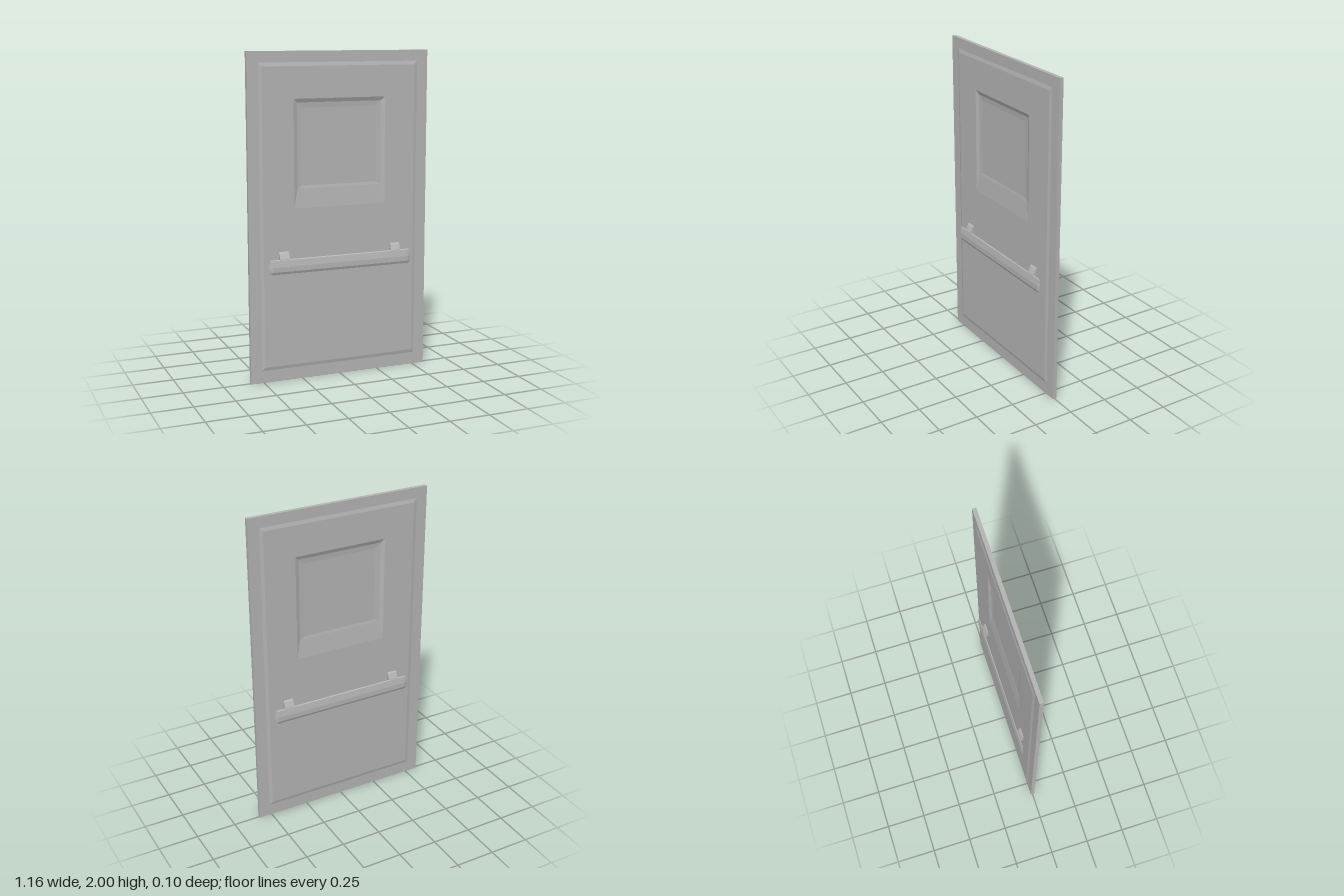
import * as THREE from 'three';

// Skin a stack of rings (each counter-clockwise seen from the direction of travel), flat faceted.
function loft(rings, capStart) {
  const pos = [];
  const tri = (a, b, c) => pos.push(...a, ...b, ...c);
  const n = rings[0].length;
  for (let r = 0; r < rings.length - 1; r++) {
    const a = rings[r], b = rings[r + 1];
    for (let i = 0; i < n; i++) {
      const j = (i + 1) % n;
      tri(a[i], a[j], b[j]);
      tri(a[i], b[j], b[i]);
    }
  }
  const first = rings[0], last = rings[rings.length - 1];
  for (let i = 1; i < n - 1; i++) {
    tri(last[0], last[i], last[i + 1]);
    if (capStart) tri(first[0], first[i + 1], first[i]);
  }
  const geo = new THREE.BufferGeometry();
  geo.setAttribute('position', new THREE.Float32BufferAttribute(pos, 3));
  geo.computeVertexNormals();
  return geo;
}

const rect = (w, y0, y1, z) => [[-w, y0, z], [w, y0, z], [w, y1, z], [-w, y1, z]];

export function createModel() {
  const grey = new THREE.MeshStandardMaterial({ color: 0xb4b4b4 });
  grey.name = 'door grey';

  // Half door: edge, raised field with bevel, recessed window panel with a long sill
  const leafGeo = loft([
    rect(0.582, 0, 2, 0),
    rect(0.582, 0, 2, 0.012),
    rect(0.512, 0.074, 1.934, 0.012),
    rect(0.492, 0.095, 1.912, 0.017),
    rect(0.296, 1.066, 1.721, 0.017),
    rect(0.272, 1.183, 1.698, 0.007),
    rect(0.24, 1.2, 1.666, 0.004),
  ], false);

  // Push bar: leaf-shaped section with pointed ends
  const section = [[0.675, 0.044], [0.71, 0.037], [0.765, 0.038], [0.76, 0.043], [0.72, 0.05], [0.69, 0.05]];
  const barRing = (x, sy, sz) =>
    section.map(([y, z]) => [x, 0.717 + (y - 0.717) * sy, 0.043 + (z - 0.043) * sz]);
  const barGeo = loft([
    barRing(-0.472, 0, 0), barRing(-0.458, 0.96, 0.4), barRing(-0.447, 1, 1),
    barRing(0.447, 1, 1), barRing(0.458, 0.96, 0.4), barRing(0.472, 0, 0),
  ], true);

  // Sloping bracket between door and bar
  const bracketSection = [[0.745, 0.014], [0.81, 0.014], [0.8, 0.025], [0.765, 0.041], [0.735, 0.04]];
  const bracketGeo = loft([-0.031, 0.031].map(x => bracketSection.map(([y, z]) => [x, y, z])), true);

  const door = new THREE.Group();
  door.name = 'door';
  for (const side of ['front', 'back']) {
    const half = new THREE.Group();
    half.name = side + 'Side';
    const add = (geo, name, x = 0) => {
      const mesh = new THREE.Mesh(geo, grey);
      mesh.name = name;
      mesh.position.x = x;
      half.add(mesh);
    };
    add(leafGeo, side + 'Panel');
    add(barGeo, side + 'PushBar');
    add(bracketGeo, side + 'LeftBracket', 0.366);
    add(bracketGeo, side + 'RightBracket', -0.366);
    if (side === 'back') half.rotation.y = Math.PI;
    door.add(half);
  }
  return door;
}
